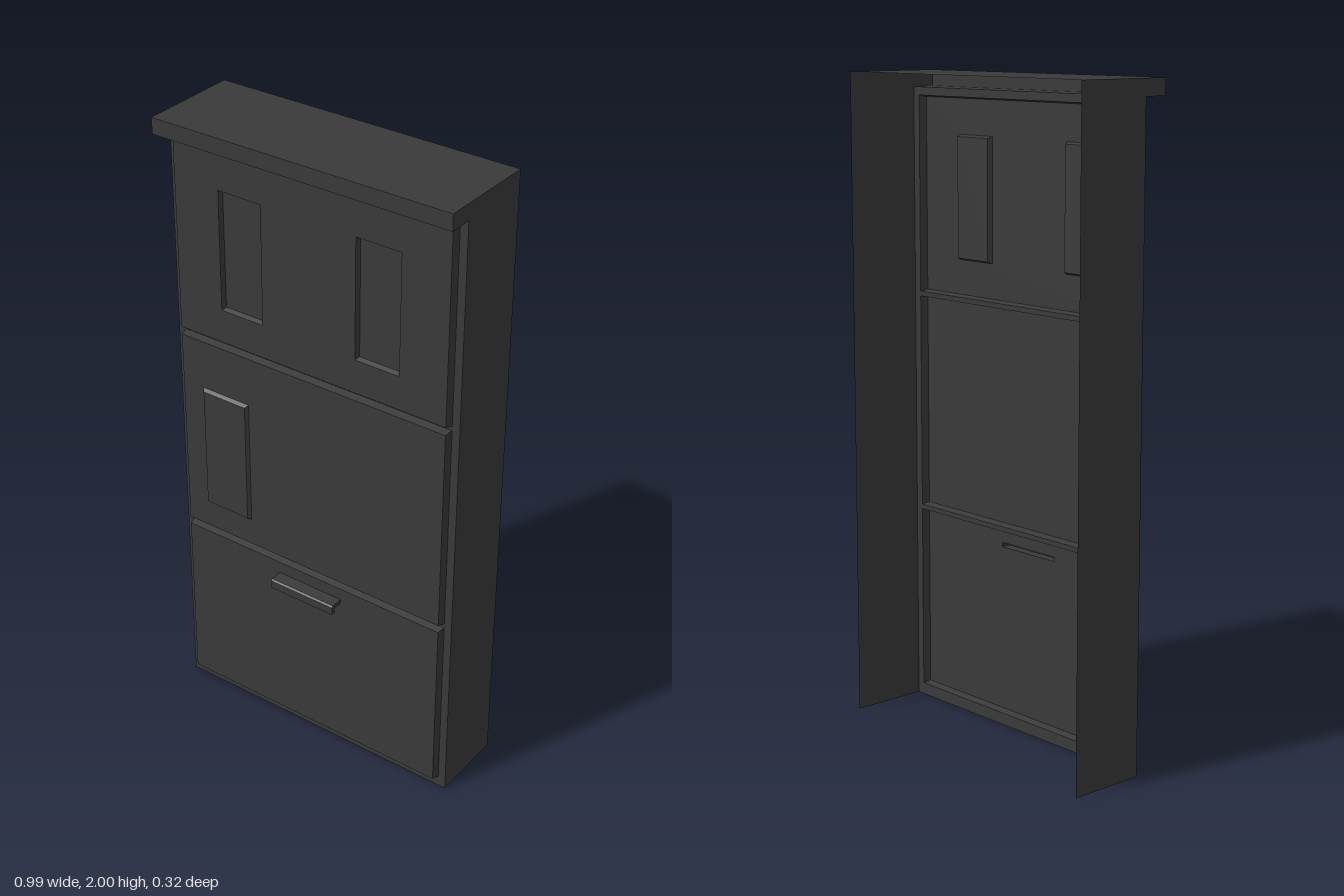
import * as THREE from 'three';

const material = new THREE.MeshStandardMaterial({ color: 0x3a3a3a, side: THREE.DoubleSide });
const HALF = 0.495, FRONT = 0.085, PANEL = 0.11;

// rectangle as a counter-clockwise list of corners
const rect = ([x0, y0, x1, y1], inset = 0) => [
  [x0 + inset, y0 + inset], [x1 - inset, y0 + inset],
  [x1 - inset, y1 - inset], [x0 + inset, y1 - inset]];

const toVectors = (points) => points.map(([x, y]) => new THREE.Vector2(x, y));

// flat sheet at depth z, with optional openings
function sheet(outline, holes, z) {
  const shape = new THREE.Shape(toVectors(outline));
  for (const h of holes) shape.holes.push(new THREE.Path(toVectors(h)));
  return new THREE.ShapeGeometry(shape).translate(0, 0, z);
}

// flat-shaded band of quads between two rows of 3D points
function band(a, b, closed) {
  const pos = [], n = a.length;
  for (let i = 0; i < (closed ? n : n - 1); i++) {
    const j = (i + 1) % n;
    pos.push(...a[i], ...a[j], ...b[j], ...a[i], ...b[j], ...b[i]);
  }
  const g = new THREE.BufferGeometry();
  g.setAttribute('position', new THREE.Float32BufferAttribute(pos, 3));
  g.computeVertexNormals();
  return g;
}

// sloping edge from a rectangle at z0 to an inset one at z1
const skirt = (r, z0, inset, z1) => band(
  rect(r).map((p) => [...p, z0]), rect(r, inset).map((p) => [...p, z1]), true);

// end face of a (z, y) profile; sign picks the side it looks towards
const endFace = (profile, x, sign) =>
  sheet(profile.map(([z, y]) => [-sign * z, y]), [], 0).rotateY(sign * Math.PI / 2).translate(x, 0, 0);

// (z, y) profile swept across x
const sweep = (profile, half) => band(
  profile.map(([z, y]) => [-half, y, z]), profile.map(([z, y]) => [half, y, z]), false);

function add(parent, name, geometry) {
  const mesh = new THREE.Mesh(geometry, material);
  mesh.name = name;
  parent.add(mesh);
}

// pressed relief: sloping edge and flat face, raised or sunk
function relief(parent, name, r, z0, z1, inset, holes = []) {
  const group = new THREE.Group();
  group.name = name;
  add(group, name + 'Edge', skirt(r, z0, inset, z1));
  add(group, name + 'Face', sheet(rect(r, inset), holes, z1));
  parent.add(group);
}

export function createModel() {
  const model = new THREE.Group();
  model.name = 'cabinetFront';

  // hollow casing, open at the back and bottom, with an overhanging top
  const side = [[-0.16, 0], [-0.16, 2], [0.16, 2], [0.16, 1.95], [FRONT, 1.95], [FRONT, 0]];
  add(model, 'leftSide', endFace(side, HALF, 1));
  add(model, 'rightSide', endFace(side, -HALF, -1));
  add(model, 'topCap', sweep(side.slice(1, 5), HALF));

  // front frame with three panel openings
  const lower = [-0.47, 0.037, 0.47, 0.62];
  const middle = [-0.47, 0.635, 0.47, 1.305];
  const upper = [-0.47, 1.32, 0.47, 1.925];
  add(model, 'frontFrame', sheet(rect([-HALF, 0, HALF, 1.95]),
    [lower, middle, upper].map((r) => rect(r)), FRONT));

  // upper panel with two sunken fields
  const fields = [-1, 1].map((s) => [s * 0.235 - 0.074, 1.432, s * 0.235 + 0.074, 1.812]);
  relief(model, 'upperPanel', upper, FRONT, PANEL, 0.005, fields.map((r) => rect(r)));
  fields.forEach((r, i) => relief(model, i ? 'leftField' : 'rightField', r, PANEL, 0.096, 0.006));

  // middle panel with one raised plate
  const plate = [-0.39, 0.73, -0.22, 1.142];
  relief(model, 'middlePanel', middle, FRONT, PANEL, 0.005, [rect(plate)]);
  relief(model, 'raisedPlate', plate, PANEL, 0.12, 0.008);

  // lower panel with a hollow hooked handle
  const slot = [-0.115, 0.562, 0.115, 0.576];
  relief(model, 'lowerPanel', lower, FRONT, PANEL, 0.005, [rect(slot)]);
  const hook = [[PANEL, 0.576], [0.149, 0.576], [0.154, 0.571], [0.154, 0.545],
    [0.141, 0.545], [0.141, 0.562], [PANEL, 0.562]];
  const handle = new THREE.Group();
  handle.name = 'handle';
  add(handle, 'handleGrip', sweep(hook, 0.115));
  for (const s of [-1, 1]) add(handle, 'handleEnd', endFace(hook, s * 0.115, s));
  model.add(handle);

  return model;
}
